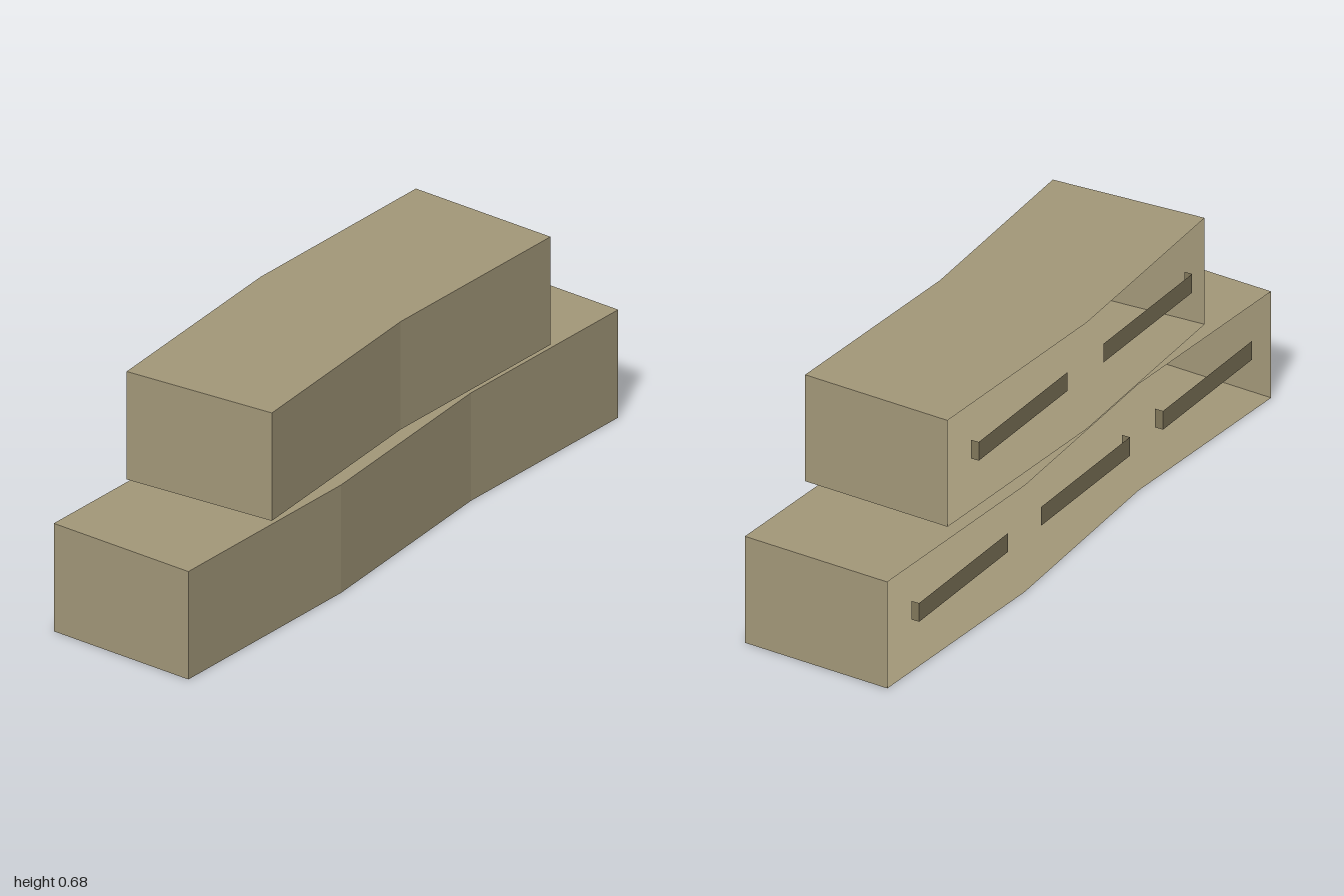
import * as THREE from 'three';

const body = new THREE.MeshStandardMaterial({ color: 0xa4997a, side: THREE.DoubleSide });
body.name = 'khaki panel';
const grip = new THREE.MeshStandardMaterial({ color: 0x82785c, side: THREE.DoubleSide });
grip.name = 'dark khaki handle';

// Flat four-cornered panels, corners counter-clockwise from outside
function panels(name, quads, material) {
  const pos = quads.flatMap(([a, b, c, d]) => [a, b, c, a, c, d].flat());
  const geo = new THREE.BufferGeometry();
  geo.setAttribute('position', new THREE.Float32BufferAttribute(pos, 3));
  geo.computeVertexNormals();
  const mesh = new THREE.Mesh(geo, material);
  mesh.name = name;
  return mesh;
}

// Zigzag cabinet shell, open at the back.
// Each station is [front x, front z, back x, back z], from -x to +x.
function shell(name, stations, y0, y1) {
  const loops = stations.map(([fx, fz, bx, bz]) => [
    [bx, y0, bz], [fx, y0, fz], [fx, y1, fz], [bx, y1, bz],
  ]);
  const quads = [];
  for (let i = 0; i + 1 < loops.length; i++) {
    const l = loops[i], r = loops[i + 1];
    // bottom, front and top of this section
    for (let k = 0; k < 3; k++) quads.push([l[k], r[k], r[k + 1], l[k + 1]]);
  }
  quads.push(loops[0]);                              // end at -x
  quads.push([...loops[loops.length - 1]].reverse()); // end at +x
  return panels(name, quads, body);
}

// Thin L-shaped handle: a long plate with a short return at one end
function handle(x, y, side) {
  const h = 0.235, zo = -0.247, zi = -0.222, y1 = y + 0.058;
  const e = x + side * h;
  const plate = [[x + h, y, zo], [x - h, y, zo], [x - h, y1, zo], [x + h, y1, zo]];
  const leg = [[e, y, zi], [e, y, zo], [e, y1, zo], [e, y1, zi]];
  if (side < 0) leg.reverse();
  return panels('handle', [plate, leg], grip);
}

export function createModel() {
  const group = new THREE.Group();
  group.name = 'stackedCabinets';

  const near = 0.217, far = 0.252;
  group.add(shell('lowerCabinet', [
    [-1, near, -0.975, -far],
    [-0.33, far, -0.33, -near],
    [0.33, near, 0.33, -far],
    [0.975, far, 1, -near],
  ], 0, 0.33));
  group.add(shell('upperCabinet', [
    [-0.656, far, -0.681, -near],
    [0, near, 0, -far],
    [0.656, far, 0.681, -near],
  ], 0.354, 0.684));

  // Handles: x, bottom y, end carrying the return
  [[-0.646, 0.16, 1], [0, 0.16, -1], [0.646, 0.16, 1],
    [-0.33, 0.514, -1], [0.33, 0.514, 1]]
    .forEach(([x, y, side]) => group.add(handle(x, y, side)));

  return group;
}
